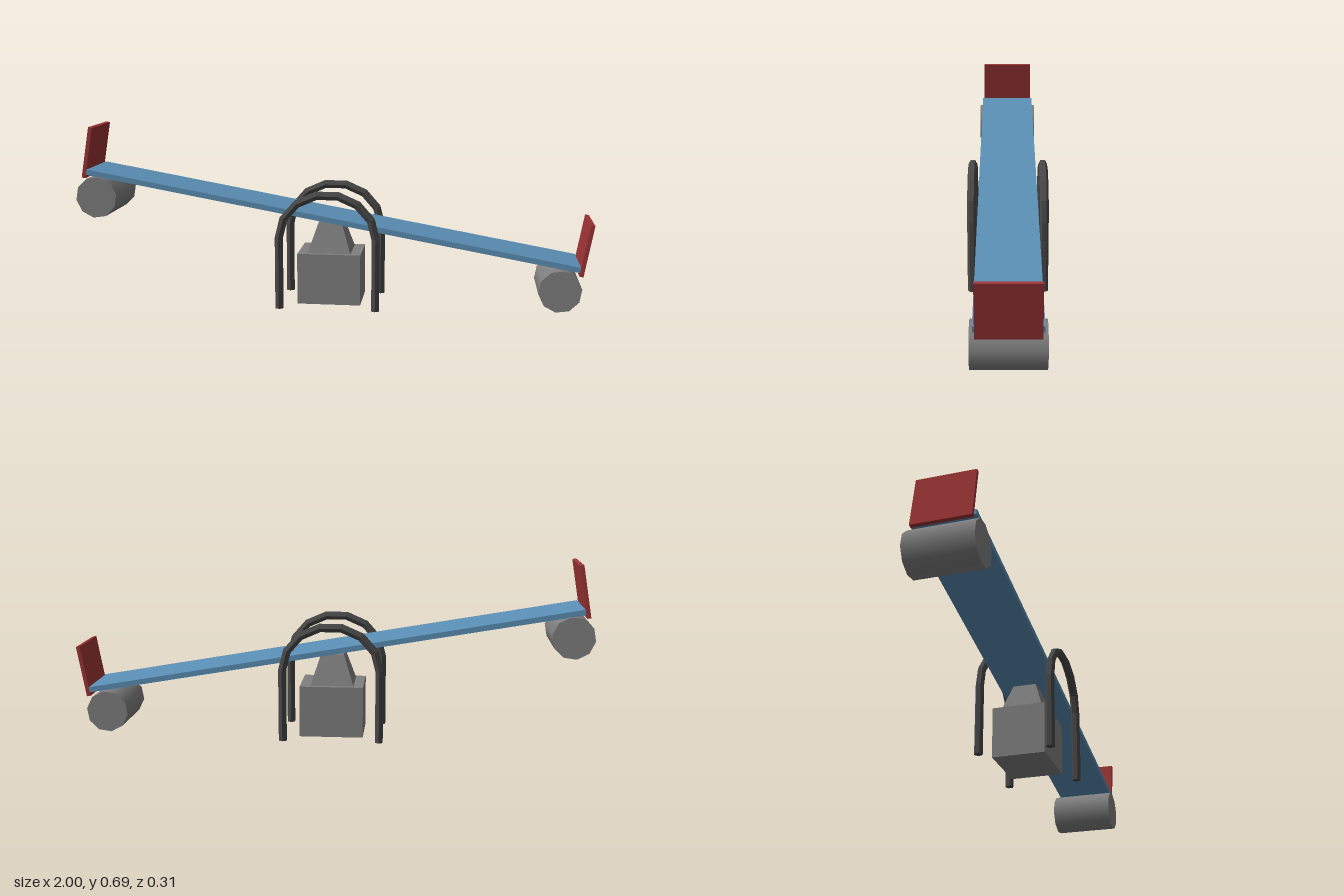
import * as THREE from 'three';

const mat = (name, color) => {
  const m = new THREE.MeshStandardMaterial({ color });
  m.name = name;
  return m;
};

// Sweeps a six-sided section along a path in the xy plane, with mitred corners
function sweep(path, radius, sides = 6) {
  const pos = [], index = [], n = path.length;
  path.forEach((p, i) => {
    const a = path[Math.max(i - 1, 0)], b = path[Math.min(i + 1, n - 1)];
    const d1 = p.clone().sub(a).normalize(), d2 = b.clone().sub(p).normalize();
    const dir = d1.clone().add(d2).normalize();
    const miter = 1 / dir.dot(i ? d1 : d2);
    for (let j = 0; j < sides; j++) {
      const t = (j + 0.5) / sides * Math.PI * 2;
      const u = Math.cos(t) * radius * miter;
      pos.push(p.x - dir.y * u, p.y + dir.x * u, Math.sin(t) * radius);
    }
  });
  for (let i = 0; i < n - 1; i++) {
    for (let j = 0; j < sides; j++) {
      const k = (j + 1) % sides;
      const a = i * sides + j, b = i * sides + k, c = a + sides, d = b + sides;
      index.push(a, b, c, b, d, c);
    }
  }
  // End caps
  const last = (n - 1) * sides;
  for (let j = 1; j < sides - 1; j++) {
    index.push(0, j + 1, j, last, last + j, last + j + 1);
  }
  const g = new THREE.BufferGeometry();
  g.setAttribute('position', new THREE.Float32BufferAttribute(pos, 3));
  g.setIndex(index);
  const flat = g.toNonIndexed();
  flat.computeVertexNormals();
  return flat;
}

export function createModel() {
  const blue = mat('blue plank', 0x5b90b6);
  const red = mat('red seat back', 0x9c3434);
  const grey = mat('grey rubber', 0x808080);
  const dark = mat('dark metal', 0x484848);

  const model = new THREE.Group();
  model.name = 'seesaw';
  const add = (parent, name, geo, material, x, y, z) => {
    const m = new THREE.Mesh(geo, material);
    m.name = name;
    m.position.set(x, y, z);
    parent.add(m);
  };

  // Tilting beam with a back rest and a bumper at each end
  const beam = new THREE.Group();
  beam.name = 'beam';
  beam.position.set(-0.003, 0.348, 0);
  beam.rotation.z = -THREE.MathUtils.degToRad(10);
  model.add(beam);
  add(beam, 'plank', new THREE.BoxGeometry(1.942, 0.021, 0.23), blue, 0, 0, 0);
  for (const [side, s] of [['left', 1], ['right', -1]]) {
    add(beam, side + 'BackRest', new THREE.BoxGeometry(0.015, 0.202, 0.216), red, s * 0.981, 0.075, 0);
    const bumper = new THREE.CylinderGeometry(0.082, 0.082, 0.252, 10).rotateX(Math.PI / 2);
    add(beam, side + 'Bumper', bumper, grey, s * 0.914, -0.092 - s * 0.003, 0);
  }

  // Central block with a tapered pivot on top
  add(model, 'baseBlock', new THREE.BoxGeometry(0.247, 0.2, 0.205), grey, -0.004, 0.108, -0.005);
  const pivot = new THREE.CylinderGeometry(0.045 * Math.SQRT2, 0.084 * Math.SQRT2, 0.118, 4, 1, false, Math.PI / 4)
    .toNonIndexed();
  pivot.computeVertexNormals();
  add(model, 'pivot', pivot, grey, -0.005, 0.267, -0.005);

  // Arched hand rails on both sides of the beam
  const path = [new THREE.Vector2(-0.187, 0)];
  for (let i = 0; i <= 7; i++) {
    const t = Math.PI * (1 - i / 7);
    path.push(new THREE.Vector2(Math.cos(t) * 0.187, 0.28 + Math.sin(t) * 0.171));
  }
  path.push(new THREE.Vector2(0.187, 0));
  const rail = sweep(path, 0.017);
  add(model, 'frontRail', rail, dark, -0.005, 0, 0.138);
  add(model, 'backRail', rail, dark, -0.005, 0, -0.138);

  return model;
}
